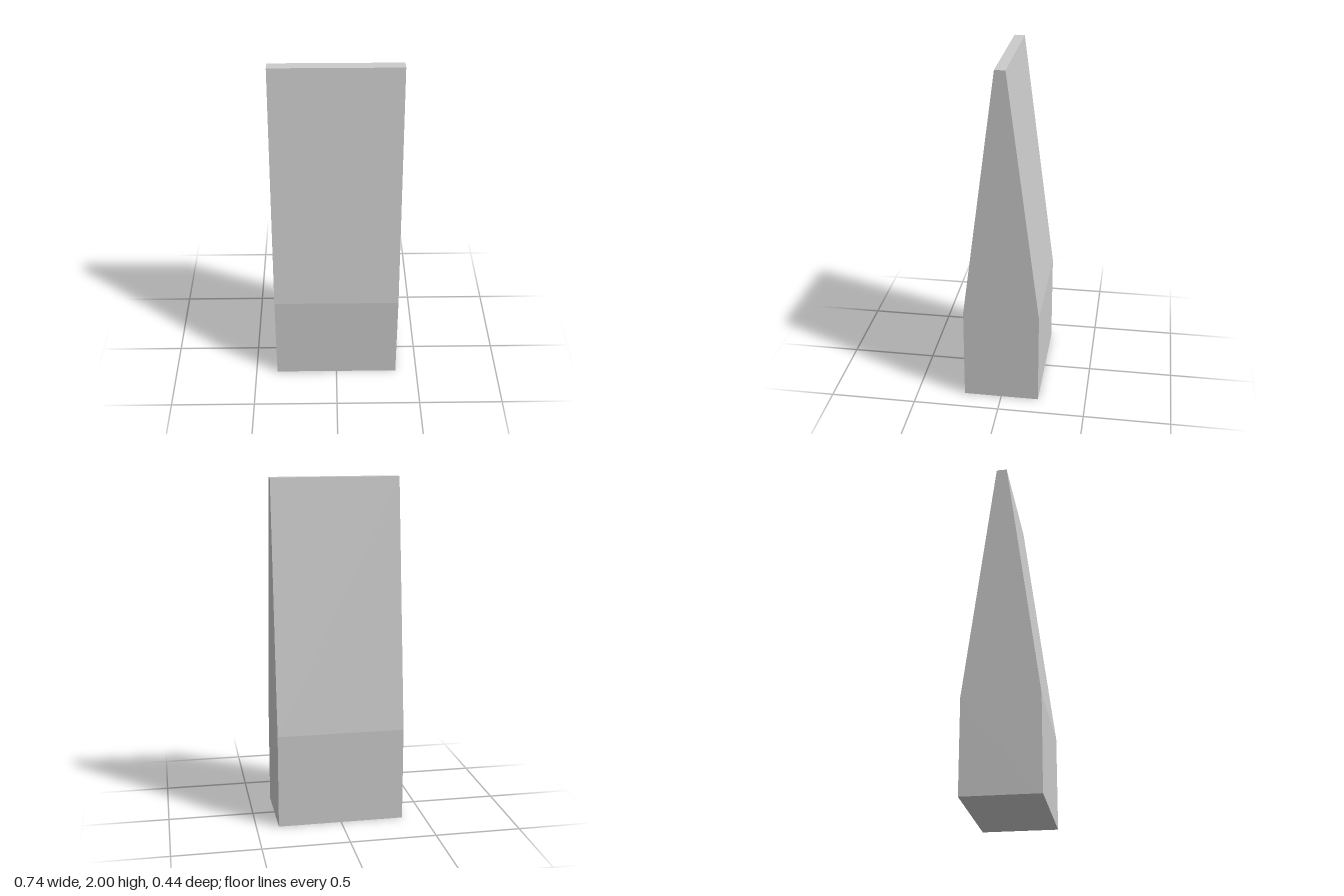
import * as THREE from 'three';

export function createModel() {
  const group = new THREE.Group();
  const width = 0.74, shoulder = 0.55, height = 2;
  const baseHalf = 0.22, tipHalf = 0.03;

  // Side profile: straight base, then both faces taper to a narrow flat tip
  const profile = new THREE.Shape([
    new THREE.Vector2(-baseHalf, 0),
    new THREE.Vector2(baseHalf, 0),
    new THREE.Vector2(baseHalf, shoulder),
    new THREE.Vector2(tipHalf, height),
    new THREE.Vector2(-tipHalf, height),
    new THREE.Vector2(-baseHalf, shoulder),
  ]);

  // Extrude across the width, centre it and turn the extrusion along x
  const geometry = new THREE.ExtrudeGeometry(profile, { depth: width, bevelEnabled: false });
  geometry.translate(0, 0, -width / 2).rotateY(Math.PI / 2);

  const wedge = new THREE.Mesh(
    geometry,
    new THREE.MeshStandardMaterial({ color: 0xcccccc, flatShading: true })
  );
  wedge.name = 'wedge';
  group.add(wedge);
  return group;
}
